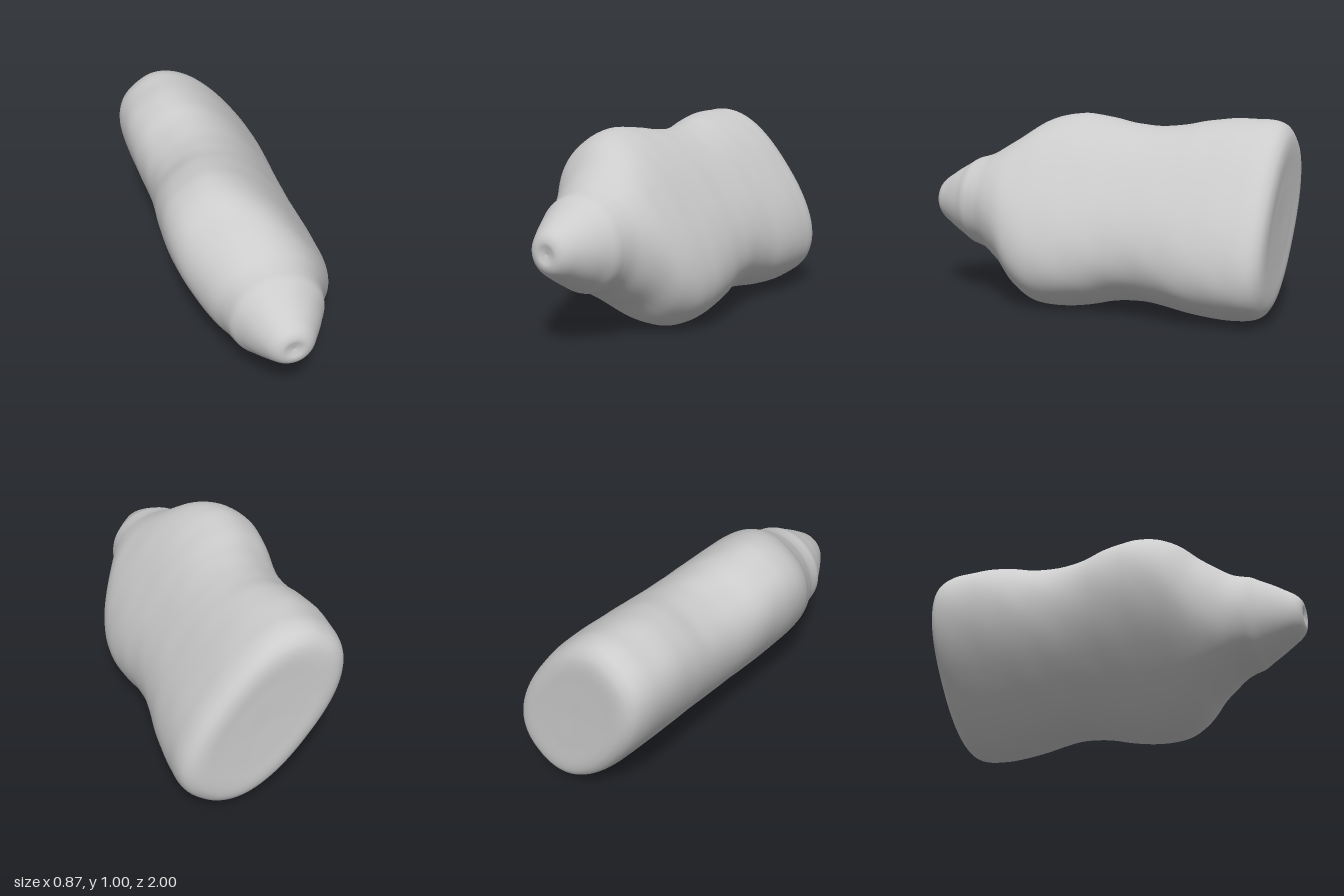
import * as THREE from 'three';

const SEGMENTS = 96, ROWS = 180;
const TILT = THREE.MathUtils.degToRad(126); // direction of the long axis of the oval

// Stations along the body: z, half length and half width of the tilted oval
const STATIONS = [
  [-0.99, 0, 0], [-0.993, 0.25, 0.14], [-0.993, 0.42, 0.225], [-0.978, 0.475, 0.262], [-0.945, 0.515, 0.29],
  [-0.89, 0.535, 0.306], [-0.8, 0.54, 0.312], [-0.68, 0.538, 0.314], [-0.55, 0.52, 0.314],
  [-0.42, 0.492, 0.313], [-0.28, 0.479, 0.313], [-0.14, 0.493, 0.313], [0, 0.528, 0.315],
  [0.12, 0.547, 0.317], [0.2, 0.55, 0.318], [0.3, 0.533, 0.318], [0.4, 0.48, 0.315],
  [0.5, 0.385, 0.307], [0.58, 0.325, 0.288], [0.65, 0.277, 0.265], [0.7, 0.257, 0.253],
  [0.75, 0.243, 0.241], [0.8, 0.215, 0.213], [0.86, 0.182, 0.18], [0.92, 0.145, 0.144],
  [0.965, 0.115, 0.115], [0.99, 0.088, 0.088], [1, 0.058, 0.058], [0.995, 0.03, 0.03], [0.988, 0, 0],
];

const signedPower = (v, p) => Math.sign(v) * Math.abs(v) ** p;

// Faint hand-shaped unevenness of the flanks
const unevenness = (t, z) =>
  0.002 * (Math.sin(17 * z + 3 * t) + Math.sin(29 * z - 5 * t + 1) * Math.cos(4 * t + 7 * z));

function bodyGeometry() {
  const profile = new THREE.CatmullRomCurve3(STATIONS.map((s) => new THREE.Vector3(...s)));
  const positions = [], indices = [];
  const c = Math.cos(TILT), s = Math.sin(TILT);
  for (let i = 0; i <= ROWS; i++) {
    const { x: z, y: a, z: b } = profile.getPoint(i / ROWS);
    const round = THREE.MathUtils.smoothstep(z, 0.35, 0.65); // boxy oval becomes a circle at the nose
    const power = 2 / THREE.MathUtils.lerp(2.4, 2, round);
    const centreY = 0.5 + 0.012 * (1 - THREE.MathUtils.smoothstep(z, -0.8, 0.1)) + 0.006 * round;
    for (let j = 0; j < SEGMENTS; j++) {
      const t = (j / SEGMENTS) * Math.PI * 2;
      const k = 1 + unevenness(t, z);
      const u = Math.max(a, 0) * k * signedPower(Math.cos(t), power);
      const v = Math.max(b, 0) * k * signedPower(Math.sin(t), power);
      positions.push(u * c - v * s, centreY + u * s + v * c, z);
      if (i === ROWS) continue;
      const next = (j + 1) % SEGMENTS, row = i * SEGMENTS, up = row + SEGMENTS;
      indices.push(row + j, row + next, up + next, row + j, up + next, up + j);
    }
  }
  const geometry = new THREE.BufferGeometry();
  geometry.setAttribute('position', new THREE.Float32BufferAttribute(positions, 3));
  geometry.setIndex(indices);
  geometry.computeVertexNormals();
  // Close the end points with clean axial normals
  const normals = geometry.attributes.normal;
  for (let j = 0; j < SEGMENTS; j++) {
    normals.setXYZ(j, 0, 0, -1);
    normals.setXYZ(ROWS * SEGMENTS + j, 0, 0, 1);
  }
  return geometry;
}

export function createModel() {
  const model = new THREE.Group();
  model.name = 'model';
  // One continuous skin: flat back, waisted oval body, stepped round nose
  const body = new THREE.Mesh(bodyGeometry(), new THREE.MeshStandardMaterial({ color: 0xcccccc }));
  body.name = 'body';
  model.add(body);
  return model;
}
